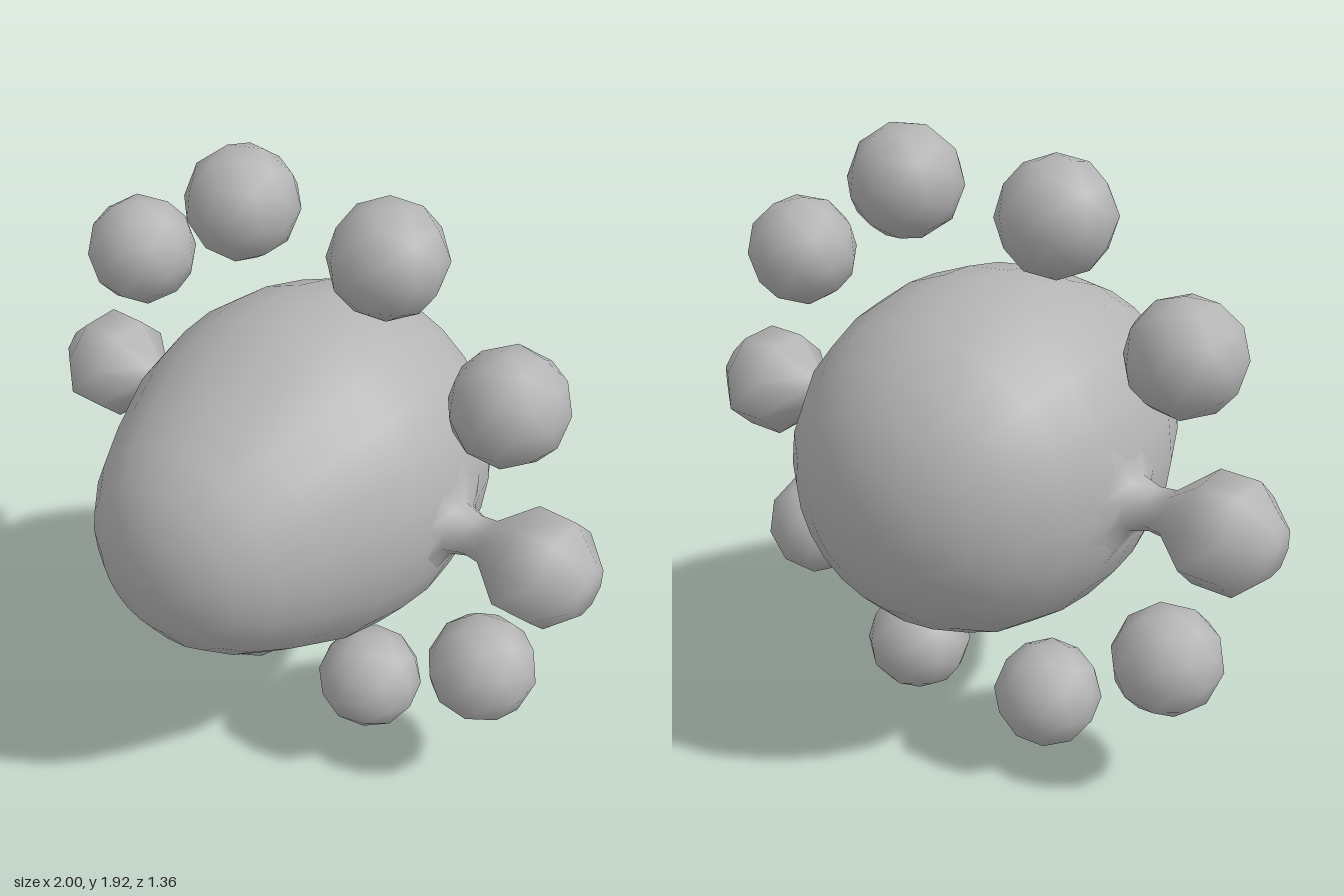
import * as THREE from 'three';

const CENTER_Y = 0.97;
const RING_Z = -0.1;
const RING_RADIUS = 0.84;
const BALL_RADIUS = 0.172;

const profile = (pairs) => pairs.map(([r, h]) => new THREE.Vector2(r, h));

export function createModel() {
  const model = new THREE.Group();
  model.name = 'eggWithBallRing';
  const grey = new THREE.MeshStandardMaterial({ color: 0xb4b4b4 });
  grey.name = 'plain grey';

  const add = (geometry, name, parent) => {
    const mesh = new THREE.Mesh(geometry, grey);
    mesh.name = name;
    parent.add(mesh);
    return mesh;
  };

  // Egg-shaped body lying along z, blunt at the back and narrower at the front
  const egg = new THREE.LatheGeometry(profile([
    [0, -0.682], [0.07, -0.68], [0.2, -0.65], [0.315, -0.58], [0.41, -0.49],
    [0.49, -0.36], [0.533, -0.21], [0.547, -0.08], [0.537, 0.04], [0.505, 0.18],
    [0.42, 0.365], [0.35, 0.49], [0.275, 0.58], [0.18, 0.645], [0.07, 0.677], [0, 0.68],
  ]), 24);
  egg.rotateX(Math.PI / 2);
  add(egg, 'eggBody', model).position.y = CENTER_Y;

  // Ring of ten balls; the two on the x axis join the body through a flared neck
  const ring = new THREE.Group();
  ring.name = 'ballRing';
  ring.position.set(0, CENTER_Y, RING_Z);
  model.add(ring);

  const stalk = new THREE.LatheGeometry(profile([
    [0.24, 0.48], [0.15, 0.525], [0.085, 0.55], [0.066, 0.61], [0.072, 0.665],
    [0.168, 0.775], [0.168, 0.9], [0.076, 0.995], [0, 1.0],
  ]), 8, Math.PI / 8);
  stalk.rotateZ(-Math.PI / 2);
  const ball = new THREE.IcosahedronGeometry(BALL_RADIUS, 1);

  for (let i = 0; i < 10; i++) {
    const angle = (i * Math.PI) / 5;
    if (i % 5 === 0) {
      add(stalk, 'stalkedBall', ring).rotation.z = angle;
    } else {
      const mesh = add(ball, 'ringBall', ring);
      mesh.position.set(RING_RADIUS * Math.cos(angle), RING_RADIUS * Math.sin(angle), 0);
      mesh.rotation.z = angle;
    }
  }
  return model;
}
